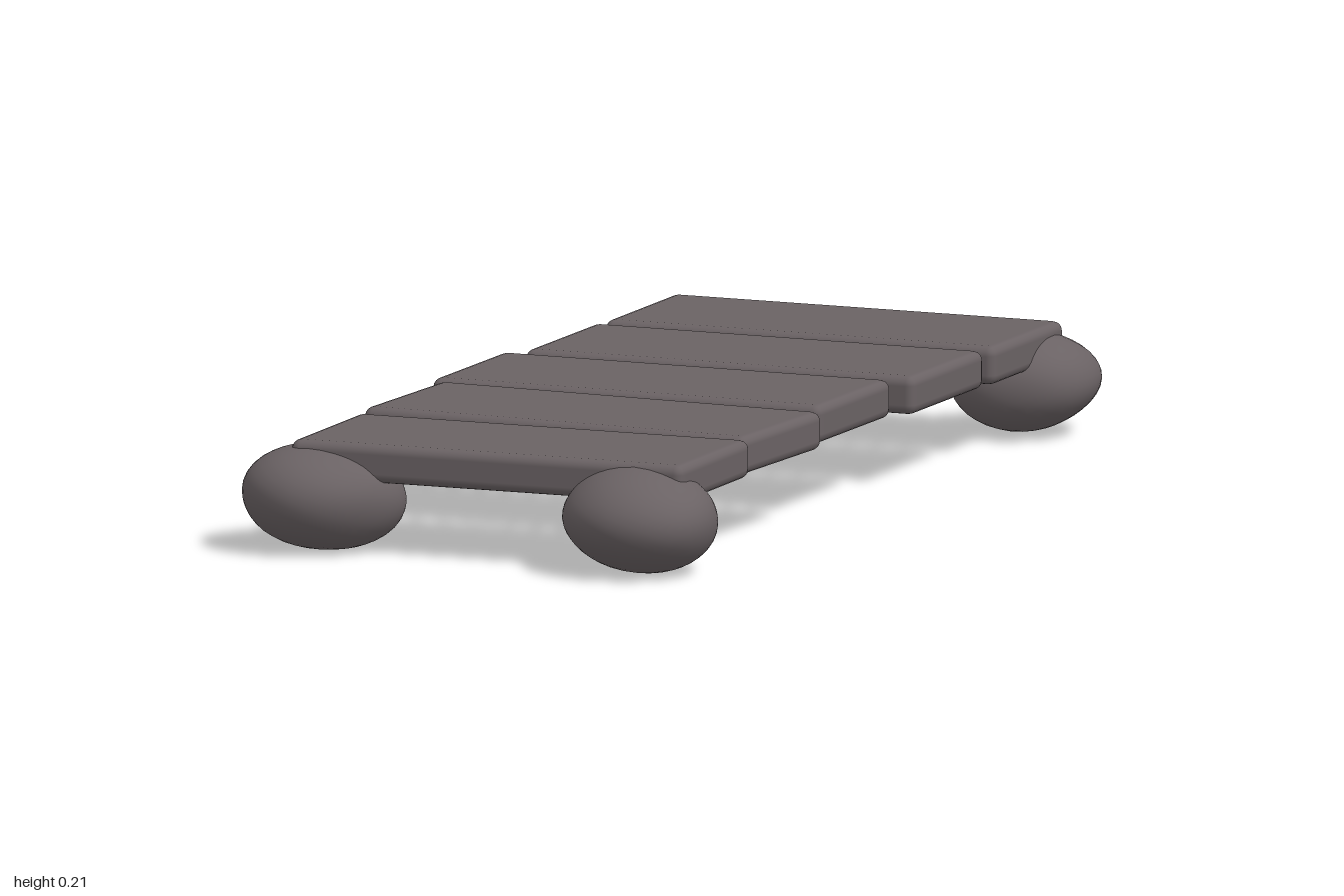
import * as THREE from 'three';
import { mergeVertices } from 'three/addons/utils/BufferGeometryUtils.js';
import { RoundedBoxGeometry } from 'three/addons/geometries/RoundedBoxGeometry.js';

// Smooth, slightly lumpy boulder fitted to a width, height and depth
function boulderGeometry(size, phase) {
  const base = new THREE.IcosahedronGeometry(1, 6);
  base.deleteAttribute('normal');
  base.deleteAttribute('uv');
  const geo = mergeVertices(base, 1e-4);
  const pos = geo.attributes.position;
  const v = new THREE.Vector3();
  for (let i = 0; i < pos.count; i++) {
    v.fromBufferAttribute(pos, i);
    const lump = 1
      + 0.035 * Math.sin(2.6 * v.x + 1.3 * v.y + phase)
      + 0.03 * Math.sin(2.9 * v.z - 1.7 * v.x + 2 * phase)
      + 0.02 * Math.sin(3.4 * v.y + 2.1 * v.z - phase);
    v.multiplyScalar(lump);
    pos.setXYZ(i, v.x, v.y, v.z);
  }
  geo.computeBoundingBox();
  geo.center();
  const b = geo.boundingBox.getSize(new THREE.Vector3());
  geo.scale(size[0] / b.x, size[1] / b.y, size[2] / b.z);
  geo.computeVertexNormals();
  return geo;
}

export function createModel() {
  const model = new THREE.Group();
  model.name = 'stoneSlabBridge';
  const stone = new THREE.MeshStandardMaterial({ color: 0x6a6264 });
  stone.name = 'grey stone';

  // Five deck slabs, each a little out of line: x, z, turn
  const slabs = [
    [-0.005, -0.725, 0.025],
    [-0.003, -0.365, 0.02],
    [-0.027, -0.004, 0.016],
    [-0.003, 0.355, -0.025],
    [0.015, 0.717, 0.032],
  ];
  const slabGeo = new RoundedBoxGeometry(0.785, 0.072, 0.333, 2, 0.018);
  slabs.forEach(([x, z, turn], i) => {
    const slab = new THREE.Mesh(slabGeo, stone);
    slab.name = `deckSlab${i + 1}`;
    slab.position.set(x, 0.174, z);
    slab.rotation.y = turn;
    model.add(slab);
  });

  // Four corner boulders: name, centre, size, lump phase
  const boulders = [
    ['frontLeftBoulder', [0.318, 0.104, 0.85], [0.295, 0.2, 0.295], 0.6],
    ['frontRightBoulder', [-0.32, 0.102, 0.85], [0.3, 0.196, 0.295], 2.1],
    ['backLeftBoulder', [0.325, 0.103, -0.852], [0.285, 0.188, 0.29], 3.7],
    ['backRightBoulder', [-0.32, 0.103, -0.853], [0.285, 0.188, 0.293], 5.2],
  ];
  for (const [name, centre, size, phase] of boulders) {
    const boulder = new THREE.Mesh(boulderGeometry(size, phase), stone);
    boulder.name = name;
    boulder.position.set(...centre);
    model.add(boulder);
  }
  return model;
}
